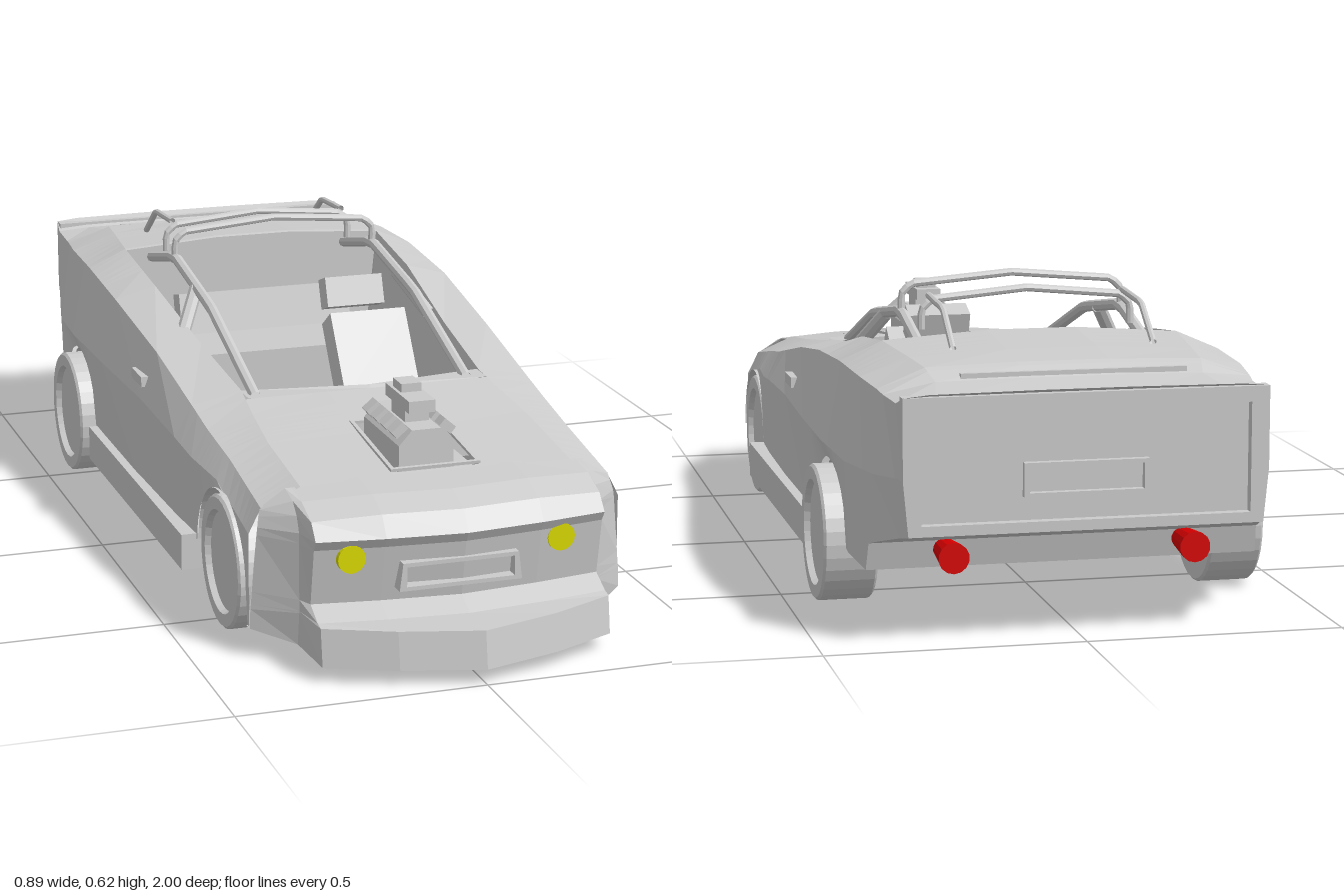
import * as THREE from 'three';

const mat = (color) => new THREE.MeshStandardMaterial({ color, flatShading: true, side: THREE.DoubleSide });
const grey = mat(0xcccccc), yellow = mat(0xd8d800), red = mat(0xd80000), blue = mat(0x0000b0);
const CX = -0.01; // the fittings sit slightly off the centre line

// Skin a row of cross-sections, leaving out cells where skip(i, j) is true
function loft(rings, skip = () => false) {
  const pos = [];
  for (let i = 0; i + 1 < rings.length; i++) {
    for (let j = 0; j + 1 < rings[i].length; j++) {
      if (skip(i, j)) continue;
      const a = rings[i][j], b = rings[i][j + 1], c = rings[i + 1][j + 1], d = rings[i + 1][j];
      pos.push(...a, ...b, ...c, ...a, ...c, ...d);
    }
  }
  const g = new THREE.BufferGeometry();
  g.setAttribute('position', new THREE.Float32BufferAttribute(pos, 3));
  g.computeVertexNormals();
  return g;
}

// Flat frame: outline with one hole, extruded along z
const vectors = (pts) => pts.map((p) => new THREE.Vector2(...p));
function frameGeometry(outer, inner, depth) {
  const shape = new THREE.Shape(vectors(outer));
  shape.holes.push(new THREE.Path(vectors(inner)));
  return new THREE.ExtrudeGeometry(shape, { depth, bevelEnabled: false });
}
const rect = (w, y0, y1) => [[-w, y0], [w, y0], [w, y1], [-w, y1]];

// z, then bottom x/y, flank x/y, shoulder x/y, deck edge x/y, deck centre y
const KEYS = [
  [0.71, 0.385, 0.06, 0.385, 0.25, 0.36, 0.30, 0.28, 0.335, 0.34],
  [0.50, 0.39, 0.09, 0.388, 0.295, 0.36, 0.335, 0.28, 0.36, 0.365],
  [0.36, 0.40, 0.12, 0.40, 0.30, 0.365, 0.355, 0.27, 0.378, 0.385],
  [0.25, 0.405, 0.12, 0.405, 0.31, 0.367, 0.375, 0.26, 0.395, 0.40],
  [0.00, 0.41, 0.12, 0.41, 0.32, 0.373, 0.42, 0.275, 0.43, 0.43],
  [-0.30, 0.41, 0.12, 0.42, 0.32, 0.385, 0.46, 0.295, 0.485, 0.485],
  [-0.54, 0.41, 0.12, 0.425, 0.32, 0.385, 0.475, 0.30, 0.512, 0.527],
  [-0.72, 0.402, 0.13, 0.41, 0.31, 0.378, 0.472, 0.28, 0.505, 0.515],
  [-0.81, 0.385, 0.115, 0.39, 0.31, 0.367, 0.466, 0.27, 0.50, 0.505],
  [-0.825, 0.382, 0.17, 0.387, 0.31, 0.365, 0.465, 0.268, 0.495, 0.50],
  [-0.86, 0.375, 0.18, 0.38, 0.31, 0.36, 0.46, 0.26, 0.48, 0.482],
  [-0.96, 0.347, 0.207, 0.357, 0.32, 0.355, 0.46, 0.28, 0.465, 0.465],
  [-1.00, 0.34, 0.215, 0.35, 0.32, 0.35, 0.475, 0.30, 0.48, 0.482],
];
const FRONT = 0.54, REAR = -0.55, ARCH = 0.15, COWL = 0.29, BULKHEAD = -0.53, FLOOR = 0.22;

function station(z) {
  let i = 0;
  while (i < KEYS.length - 2 && z < KEYS[i + 1][0]) i++;
  const a = KEYS[i], b = KEYS[i + 1], t = (z - a[0]) / (b[0] - a[0]);
  const s = a.map((v, k) => v + (b[k] - v) * t);
  for (const c of [FRONT, REAR]) {
    const d = Math.abs(z - c);
    if (d < ARCH + 1e-6) s[2] = Math.max(s[2], 0.135 + Math.sqrt(Math.max(0, ARCH * ARCH - d * d)));
  }
  return s;
}

export function createModel() {
  const car = new THREE.Group();
  const add = (name, geo, material = grey, x = 0, y = 0, z = 0) => {
    const m = new THREE.Mesh(geo, material);
    m.name = name;
    m.position.set(x, y, z);
    car.add(m);
    return m;
  };
  const box = (name, x, y, z, w, h, d) => add(name, new THREE.BoxGeometry(w, h, d), grey, x, y, z);
  const rod = (name, points, r, material) => {
    const path = new THREE.CurvePath();
    const v = points.map((p) => new THREE.Vector3(...p));
    for (let i = 0; i + 1 < v.length; i++) path.add(new THREE.LineCurve3(v[i], v[i + 1]));
    return add(name, new THREE.TubeGeometry(path, (v.length - 1) * 6, r, 8), material);
  };

  // Body shell with wheel arches, cockpit opening and engine hole
  const zs = new Set([...KEYS.map((k) => k[0]), 0.70, 0.45, COWL, BULKHEAD]);
  for (const c of [FRONT, REAR]) {
    for (let i = 0; i <= 12; i++) zs.add(c + ARCH * Math.cos(i * Math.PI / 12));
  }
  const stations = [...zs].sort((a, b) => b - a).map(station);
  const rings = stations.map(([z, xb, yb, xm, ym, xs, ys, xd, yd, yc]) => {
    const half = [[xb, yb], [xm, ym], [xs, ys], [xd, yd], [0.09, yc]];
    return [...half.map(([x, y]) => [-x, y, z]), ...half.reverse().map(([x, y]) => [x, y, z])];
  });
  add('bodyShell', loft(rings, (i, j) => {
    const z = (stations[i][0] + stations[i + 1][0]) / 2;
    return (z < COWL && z > BULKHEAD && j > 2 && j < 6) || (z < 0.70 && z > 0.45 && j === 4);
  }));

  // Nose: side profiles swept from fender to fender, with a narrower chin spoiler
  const mid = [[0.70, 0.34], [0.80, 0.332], [0.86, 0.31], [0.888, 0.27], [0.876, 0.25],
    [0.855, 0.135], [0.90, 0.112], [0.988, 0.108], [1.0, 0.033], [0.70, 0.05]];
  const side = [[0.36, 0.30, 0.705], [0.362, 0.297, 0.71], [0.365, 0.285, 0.715], [0.37, 0.265, 0.72], [0.372, 0.25, 0.72],
    [0.382, 0.135, 0.72], [0.384, 0.11, 0.72], [0.385, 0.10, 0.72], [0.387, 0.06, 0.72], [0.387, 0.06, 0.70]];
  const corner = [[0.70, 0.332], [0.75, 0.322], [0.775, 0.30], [0.79, 0.27], [0.79, 0.25],
    [0.79, 0.135], [0.79, 0.112], [0.79, 0.108], [0.78, 0.04], [0.70, 0.05]].map(([z, y]) => [0.308, y, z]);
  const column = (x, dz, dy) => mid.map(([z, y], i) =>
    [x, y - (i < 3 ? dy : 0), i === 0 || i === 9 ? z : z - dz * (i > 6 ? 3 : 1)]);
  const noseHalf = [side, corner, column(0.295, 0.035, 0.008), column(0.16, 0.015, 0)];
  const mirrored = noseHalf.map((c) => c.map(([x, y, z]) => [-x, y, z]));
  add('nose', loft([...mirrored, column(0, 0, 0), ...noseHalf.reverse()]));
  add('noseBulkhead', loft([[[-0.36, 0.30, 0.70], [-0.28, 0.334, 0.70], [0.28, 0.334, 0.70], [0.36, 0.30, 0.70]],
    [-0.385, -0.28, 0.28, 0.385].map((x) => [x, 0.055, 0.70])]));
  add('grilleFrame', frameGeometry(
    [[-0.125, 0.162], [0.125, 0.162], [0.118, 0.218], [-0.118, 0.218]], rect(0.11, 0.17, 0.21), 0.03), grey, CX, 0, 0.848);
  for (const s of [-1, 1]) {
    const lamp = add('headlight', new THREE.CylinderGeometry(0.028, 0.028, 0.025, 20), yellow, CX + s * 0.214, 0.23, 0.845);
    lamp.rotation.x = Math.PI / 2;
  }

  // Tail: recessed rear panel, plate frame, underside
  add('tailFrame', frameGeometry([[-0.34, 0.215], [0.34, 0.215], [0.35, 0.32], [0.35, 0.475], [-0.35, 0.475], [-0.35, 0.32]],
    rect(0.315, 0.235, 0.445), 0.03), grey, 0, 0, -1);
  box('tailPanel', 0, 0.34, -0.975, 0.65, 0.23, 0.01);
  add('plateFrame', frameGeometry(rect(0.12, 0.28, 0.345), rect(0.11, 0.288, 0.337), 0.018), grey, 0, 0, -0.995);
  add('rearUnderside', loft(stations.filter((s) => s[0] < -0.699).map(([z, x, y]) => [[-x, y, z], [x, y, z]])));
  box('deckRib', CX, 0.488, -0.85, 0.44, 0.01, 0.01);

  // Cockpit tub
  const inside = stations.filter((s) => s[0] <= COWL && s[0] >= BULKHEAD);
  add('cockpitTub', loft(inside.map(([z, , , , , , , x, y]) =>
    [[-x, y, z], [-x + 0.02, FLOOR, z], [x - 0.02, FLOOR, z], [x, y, z]])));
  for (const s of [inside[0], inside[inside.length - 1]]) {
    add('bulkhead', loft([[[-s[7], s[8], s[0]], [-0.09, s[9], s[0]], [0.09, s[9], s[0]], [s[7], s[8], s[0]]],
      [-0.27, -0.09, 0.09, 0.27].map((x) => [x, FLOOR, s[0]])]));
  }
  add('dashboard', loft([[[-0.26, 0.393, 0.24], [0, 0.40, 0.30], [0.26, 0.393, 0.24]],
    [[-0.26, 0.393, 0.30], [0, 0.395, 0.31], [0.26, 0.393, 0.30]]]));

  // Seats
  for (const x of [-0.145, 0.11]) box('seatCushion', x, 0.265, 0.145, 0.165, 0.09, 0.17);
  box('seatBack', 0.11, 0.365, -0.01, 0.17, 0.19, 0.07).rotation.x = -0.6;
  box('headrest', 0.105, 0.482, -0.13, 0.13, 0.065, 0.05).rotation.x = -0.35;
  box('rearBench', CX, 0.275, -0.31, 0.4, 0.13, 0.19);
  box('rearBenchBack', CX, 0.36, -0.42, 0.4, 0.13, 0.05).rotation.x = -0.25;

  // Roof rails, window struts and roll bars
  const hoop = (name, z, w, y0, y1) => {
    const right = [[w, y0, z], [w, y1 - 0.02, z], [w - 0.02, y1, z]];
    rod(name, [...right.map(([x, y, q]) => [CX - x, y, q]), [CX, y1 + 0.018, z],
      ...right.reverse().map(([x, y, q]) => [CX + x, y, q])], 0.008);
  };
  hoop('frontRollBar', -0.33, 0.23, 0.53, 0.595);
  hoop('rearRollBar', -0.46, 0.215, 0.52, 0.58);
  for (const s of [-1, 1]) {
    const x = CX + s * 0.23;
    rod('roofRail', [[x, 0.39, 0.28], [x, 0.495, -0.04], [x, 0.54, -0.33], [x, 0.49, -0.54]], 0.012);
    rod('windowStrut', [[x, 0.51, -0.16], [CX + s * 0.28, 0.43, -0.09]], 0.015);
    rod('rollBarBrace', [[CX + s * 0.2, 0.588, -0.46], [CX + s * 0.2, 0.58, -0.60], [CX + s * 0.2, 0.515, -0.69]], 0.007);
  }

  // Engine in its open bay
  box('engineBay', 0, 0.29, 0.575, 0.18, 0.08, 0.25);
  add('engineBayRim', frameGeometry(rect(0.093, -0.128, 0.128), rect(0.085, -0.12, 0.12), 0.006), grey, 0, 0.356, 0.575)
    .rotation.x = -Math.PI / 2 + 0.1;
  const block = new THREE.Shape(vectors([[-0.057, 0.32], [0.057, 0.32], [0.057, 0.385], [0.03, 0.415], [-0.03, 0.415], [-0.057, 0.385]]));
  add('engineBlock', new THREE.ExtrudeGeometry(block, { depth: 0.21, bevelEnabled: false }), grey, CX, 0, 0.465);
  for (const s of [-1, 1]) {
    for (let i = 0; i < 4; i++) box('intakeStub', CX + s * 0.05, 0.412, 0.495 + i * 0.05, 0.03, 0.018, 0.03).rotation.z = -s * 0.7;
  }
  box('intakeNeck', CX, 0.43, 0.58, 0.05, 0.04, 0.08);
  box('airScoop', CX, 0.453, 0.58, 0.055, 0.025, 0.14);
  box('scoopTop', CX, 0.473, 0.56, 0.042, 0.02, 0.05);

  // Wheels with recessed discs, arch liners and hubs
  const tyre = (w) => new THREE.LatheGeometry(vectors([[0, -w / 2], [0.13, -w / 2], [0.135, -w / 2 + 0.005], [0.135, w / 2 - 0.005],
    [0.13, w / 2], [0.105, w / 2], [0.1, w / 2 - 0.012], [0, w / 2 - 0.012]]), 32);
  for (const s of [-1, 1]) {
    for (const [name, z, x0, x1] of [['frontWheel', FRONT, 0.335, 0.395], ['rearWheel', REAR, 0.335, 0.443]]) {
      add(name, tyre(x1 - x0), grey, s * (x0 + x1) / 2, 0.137, z).rotation.z = -s * Math.PI / 2;
      const liner = new THREE.CylinderGeometry(ARCH, ARCH, 0.12, 20, 1, true, 0, Math.PI);
      add('archLiner', liner.rotateZ(Math.PI / 2), grey, s * 0.335, 0.135, z);
      add('hub', new THREE.SphereGeometry(0.03, 12, 8), blue, s * 0.315, 0.137, z);
      rod('suspensionStrut', [[s * 0.25, 0.14, z], [s * 0.23, 0.24, z]], 0.01, blue);
    }
    // Sills, door handles and exhausts
    box('sill', s * 0.375, 0.108, -0.002, 0.11, 0.075, 0.775);
    box('doorHandle', s * 0.398, 0.357, -0.04, 0.02, 0.022, 0.08);
    const pipe = add('exhaust', new THREE.CylinderGeometry(0.03, 0.02, 0.11, 14), red, s * 0.235, 0.152, -0.855);
    pipe.rotation.x = -Math.PI / 2;
    rod('chassisRail', [[s * 0.1, 0.135, 0.3], [s * 0.1, 0.135, -0.3]], 0.008, blue);
  }

  // Driveline and cross members
  rod('driveShaft', [[0, 0.137, FRONT], [0, 0.137, REAR]], 0.013, blue);
  for (const z of [FRONT, REAR]) {
    const dir = Math.sign(z);
    rod('axle', [[-0.33, 0.137, z], [0.33, 0.137, z]], 0.012, blue);
    rod('axleHousing', [[-0.09, 0.137, z], [0.09, 0.137, z]], 0.026, blue);
    for (const s of [-1, 1]) rod('controlArm', [[0, 0.137, z - dir * 0.14], [s * 0.12, 0.137, z]], 0.008, blue);
  }
  for (const z of [-0.28, 0.22]) rod('crossMember', [[-0.2, 0.135, z], [0.2, 0.135, z]], 0.01, blue);

  car.name = 'roadster';
  return car;
}
